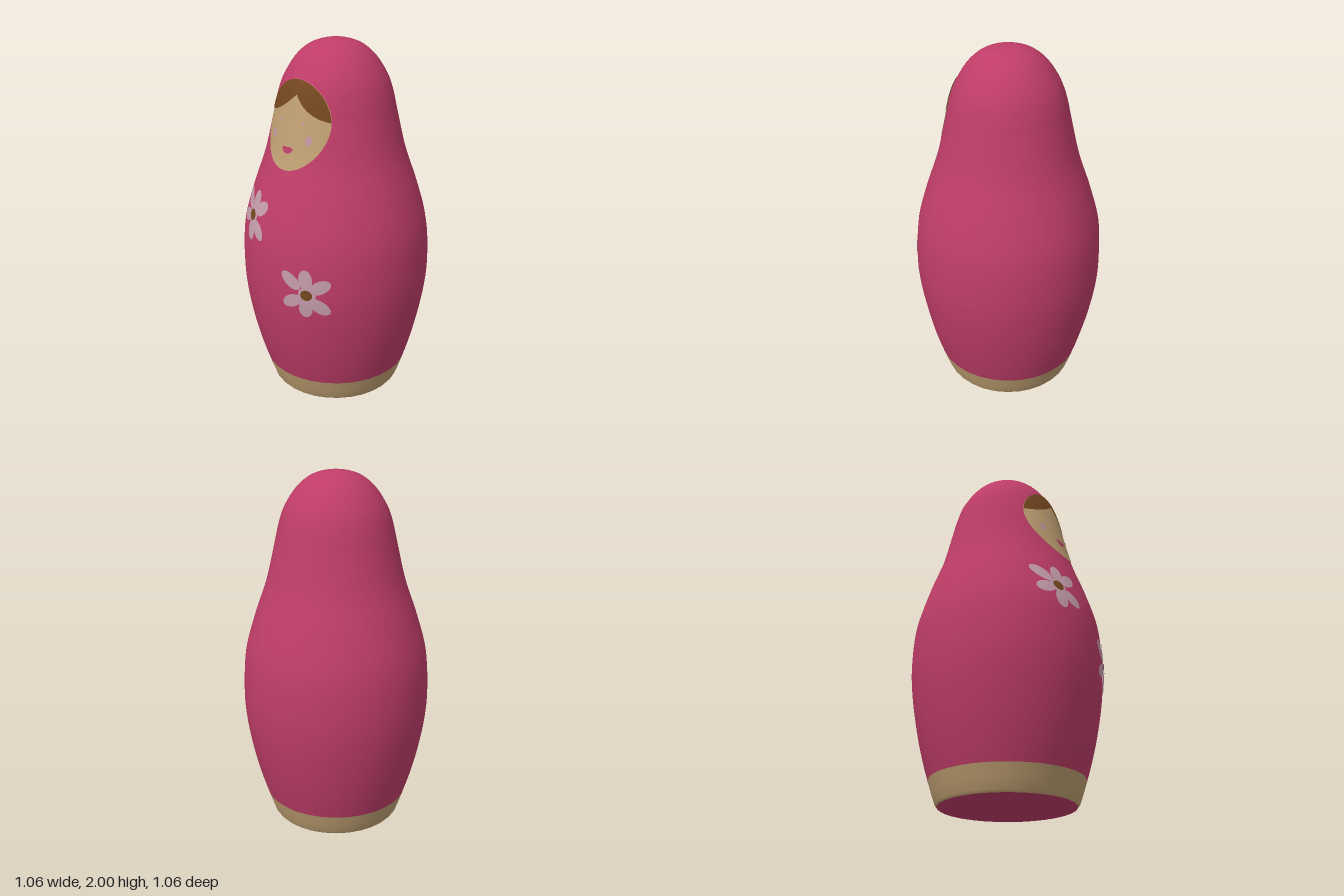
import * as THREE from 'three';

const V = (x, y) => new THREE.Vector2(x, y);
const BAND_TOP = 0.135;
const bandProfile = [V(0.366, 0), V(0.377, 0.014), V(0.397, 0.07), V(0.418, BAND_TOP)];
const bodyProfile = new THREE.SplineCurve([
  V(0.418, BAND_TOP), V(0.452, 0.25), V(0.488, 0.4), V(0.52, 0.59), V(0.531, 0.77), V(0.515, 0.99),
  V(0.457, 1.2), V(0.387, 1.4), V(0.338, 1.6), V(0.31, 1.72), V(0.277, 1.81), V(0.215, 1.905),
  V(0.145, 1.965), V(0.07, 1.993), V(0, 2),
]).getPoints(84);

// Radius of the body at a height
function radiusAt(y) {
  for (let i = 1; i < bodyProfile.length; i++) {
    const a = bodyProfile[i - 1], b = bodyProfile[i];
    if (y <= b.y) return a.x + (b.x - a.x) * (y - a.y) / (b.y - a.y);
  }
  return 0;
}

// Thin painted patch: a grid of (x, y) points wrapped onto the front of the body
function paint(name, material, point, nu, nv, lift) {
  const pos = [], index = [];
  for (let j = 0; j <= nv; j++) {
    for (let i = 0; i <= nu; i++) {
      const [x, y] = point(i / nu, j / nv);
      const r = radiusAt(y) + lift;
      pos.push(x, y, Math.sqrt(Math.max(0, r * r - x * x)));
    }
  }
  for (let j = 0; j < nv; j++) {
    for (let i = 0; i < nu; i++) {
      const a = j * (nu + 1) + i, b = a + 1, c = a + nu + 1, d = c + 1;
      index.push(a, b, d, a, d, c);
    }
  }
  const g = new THREE.BufferGeometry();
  g.setAttribute('position', new THREE.Float32BufferAttribute(pos, 3));
  g.setIndex(index);
  g.computeVertexNormals();
  const mesh = new THREE.Mesh(g, material);
  mesh.name = name;
  return mesh;
}

// Painted ellipse, turned by an angle
function ellipse(name, material, cx, cy, rx, ry, lift, turn = 0, nu = 20, nv = 3) {
  const c = Math.cos(turn), s = Math.sin(turn);
  return paint(name, material, (u, v) => {
    const t = -u * Math.PI * 2, r = 1 - v;
    const x = Math.cos(t) * rx * r, y = Math.sin(t) * ry * r;
    return [cx + x * c - y * s, cy + x * s + y * c];
  }, nu, nv, lift).rotateX(0);
}

export function createModel() {
  const paintOf = (name, color) => {
    const m = new THREE.MeshStandardMaterial({ color, side: THREE.DoubleSide });
    m.name = name;
    return m;
  };
  const pink = paintOf('pink', 0xbf3d68);
  const tan = paintOf('tan', 0xbf9f72);
  const brown = paintOf('brown', 0x74471f);
  const petalWhite = paintOf('petalWhite', 0xc59cac);
  const lilac = paintOf('lilac', 0xc095a2);

  const model = new THREE.Group();
  model.name = 'nestingDoll';
  const add = (geometry, material, name) => {
    const mesh = new THREE.Mesh(geometry, material);
    mesh.name = name;
    model.add(mesh);
    return mesh;
  };

  // Turned body, base band and underside
  add(new THREE.LatheGeometry(bodyProfile, 32), pink, 'body');
  add(new THREE.LatheGeometry(bandProfile, 32), tan, 'baseBand');
  add(new THREE.CircleGeometry(0.366, 32).rotateX(Math.PI / 2), pink, 'underside');

  // Face
  const fy = 1.592, rx = 0.213, ry = 0.228;
  const face = new THREE.Group();
  face.name = 'face';
  face.add(ellipse('skin', tan, 0, fy, rx, ry, 0.003, 0, 48, 10));

  // Hair between the face's upper edge and a parted fringe
  const fringe = new THREE.CurvePath();
  fringe.add(new THREE.QuadraticBezierCurve(V(-0.209, 1.638), V(-0.09, 1.65), V(0.012, 1.748)));
  fringe.add(new THREE.QuadraticBezierCurve(V(0.012, 1.748), V(0.09, 1.648), V(0.211, 1.624)));
  const start = Math.PI - Math.asin((1.638 - fy) / ry), end = Math.asin((1.624 - fy) / ry);
  face.add(paint('hair', brown, (u, v) => {
    const half = u < 0.5 ? 0 : 1;
    const low = fringe.curves[half].getPoint(u * 2 - half);
    const t = start + (end - start) * u;
    const hx = Math.cos(t) * rx, hy = fy + Math.sin(t) * ry;
    return [low.x + (hx - low.x) * v, low.y + (hy - low.y) * v];
  }, 32, 6, 0.006));

  // Eyes, cheeks and lips
  for (const s of [-1, 1]) {
    face.add(ellipse('eye', lilac, s * 0.08, 1.612, 0.009, 0.006, 0.006));
    face.add(ellipse('cheek', lilac, s * 0.122, 1.53, 0.02, 0.023, 0.006));
  }
  face.add(paint('lips', pink, (u, v) => {
    const x = (u * 2 - 1) * 0.037, k = Math.abs(u * 2 - 1);
    const low = 1.45 + 0.022 * k * k * k;
    const high = 1.481 + 0.005 * Math.sin(k * Math.PI) - 0.004 * k;
    return [x, low + (high - low) * v];
  }, 12, 2, 0.006));
  model.add(face);

  // Flowers: petal middles as offsets from the flower's heart
  const flowers = [
    { x: -0.185, y: 1.085, petals: [[-0.07, 0.068], [0.015, 0.08], [0.078, 0.054], [0.072, -0.064], [0.002, -0.082], [-0.07, -0.022]] },
    { x: 0.232, y: 0.745, petals: [[-0.085, 0.072], [-0.008, 0.086], [0.062, 0.05], [0.06, -0.064], [-0.008, -0.08], [-0.08, -0.046]] },
  ];
  for (const { x, y, petals } of flowers) {
    const flower = new THREE.Group();
    flower.name = 'flower';
    for (const [dx, dy] of petals) {
      const length = Math.hypot(dx, dy) * 0.32 + 0.029;
      flower.add(ellipse('petal', petalWhite, x + dx, y + dy, length, 0.035, 0.004, Math.atan2(dy, dx)));
    }
    flower.add(ellipse('petalMiddle', petalWhite, x, y, 0.045, 0.045, 0.004));
    flower.add(ellipse('heart', brown, x, y, 0.03, 0.03, 0.007));
    model.add(flower);
  }
  return model;
}
